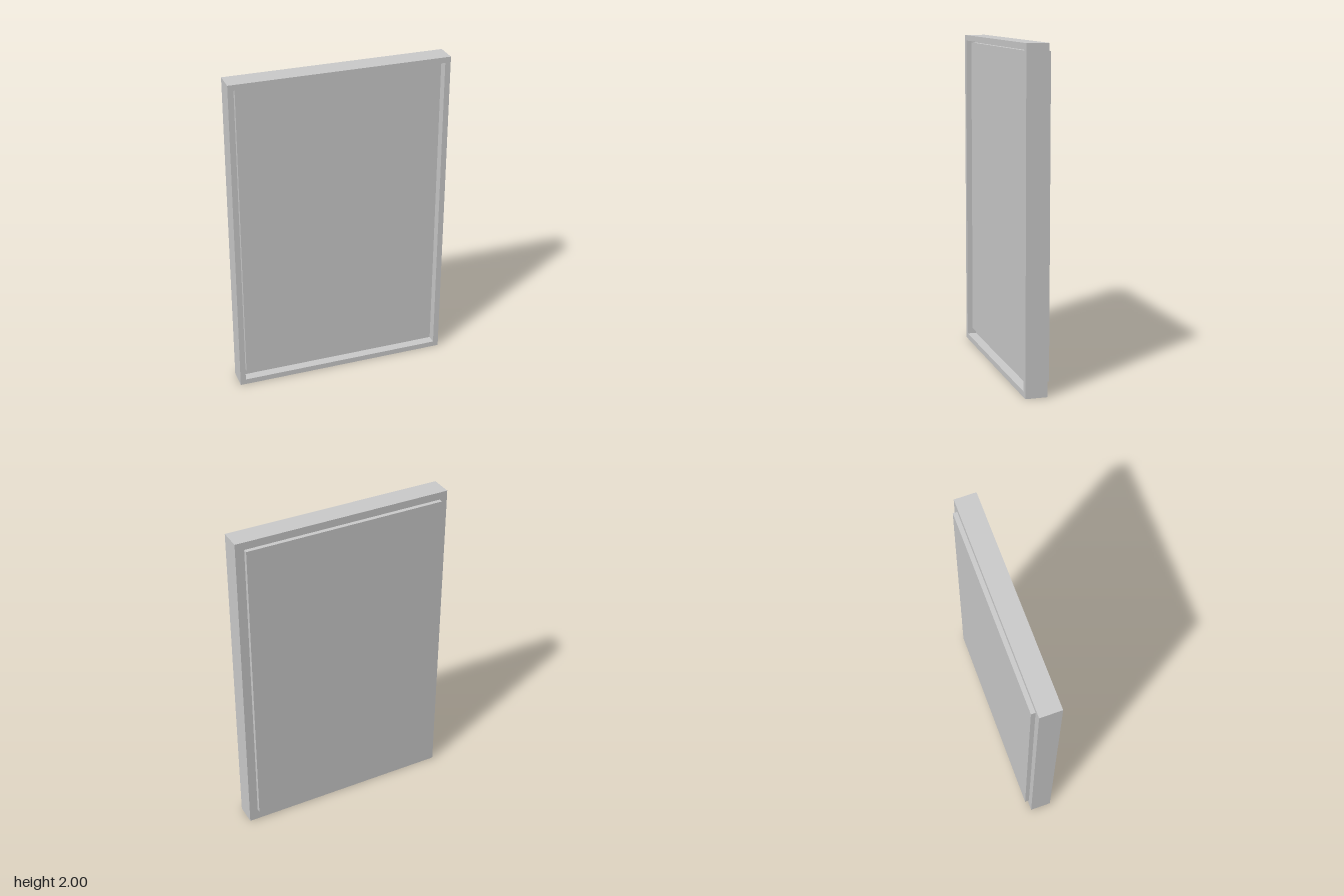
import * as THREE from 'three';

const WIDTH = 1.332, HEIGHT = 2, DEPTH = 0.132; // outer frame
const BORDER = 0.034, RECESS = 0.056; // rim width and depth of the front recess

export function createModel() {
  const grey = new THREE.MeshStandardMaterial({ color: 0xcccccc });
  grey.name = 'grey';

  const model = new THREE.Group();
  model.name = 'framedPanel';

  const add = (name, geometry, x, y, z) => {
    const mesh = new THREE.Mesh(geometry, grey);
    mesh.name = name;
    mesh.position.set(x, y, z);
    model.add(mesh);
  };

  const rectangle = (target, w, h) => {
    target.moveTo(-w / 2, -h / 2);
    target.lineTo(w / 2, -h / 2);
    target.lineTo(w / 2, h / 2);
    target.lineTo(-w / 2, h / 2);
    target.closePath();
    return target;
  };

  // Raised rim around the front recess
  const rim = rectangle(new THREE.Shape(), WIDTH, HEIGHT);
  rim.holes.push(rectangle(new THREE.Path(), WIDTH - 2 * BORDER, HEIGHT - 2 * BORDER));
  const rimGeometry = new THREE.ExtrudeGeometry(rim, { depth: RECESS, bevelEnabled: false });
  add('frameRim', rimGeometry, 0, HEIGHT / 2, DEPTH / 2 - RECESS);

  // Solid rear of the frame
  const rear = DEPTH - RECESS;
  add('frameBack', new THREE.BoxGeometry(WIDTH, HEIGHT, rear), 0, HEIGHT / 2, (rear - DEPTH) / 2);

  // Inner panel, standing out of the recess floor and of the rear face
  const panelFront = DEPTH / 2 - 0.03, panelBack = -DEPTH / 2 - 0.026;
  add('innerPanel', new THREE.BoxGeometry(1.23, 1.88, panelFront - panelBack),
    -0.003, 1.014, (panelFront + panelBack) / 2);

  // The whole piece is turned very slightly
  model.rotation.y = -0.0178;
  model.position.z = 0.01;

  const group = new THREE.Group();
  group.add(model);
  return group;
}
